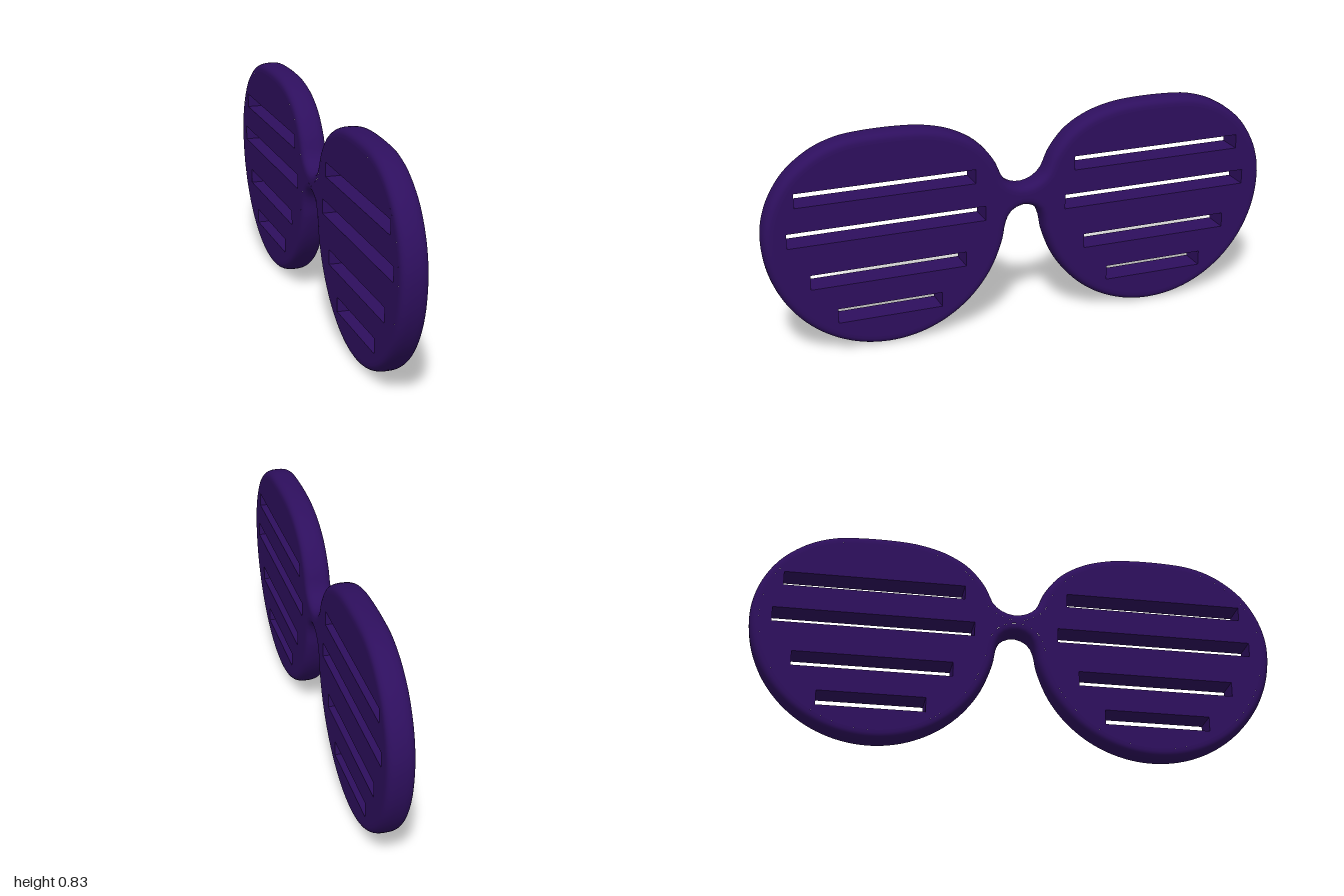
import * as THREE from 'three';

const HALF = 0.05;    // half thickness
const INSET = 0.035;  // width of the rounded edge
const N = 240;        // samples around the outline

// Joins rings of 3D points into a wall; counter-clockwise rings face outward
function loft(rings, flat) {
  const n = rings[0].length, index = [];
  for (let r = 0; r < rings.length - 1; r++) {
    for (let i = 0; i < n; i++) {
      const j = (i + 1) % n, a = r * n, b = a + n;
      index.push(a + i, a + j, b + i, a + j, b + j, b + i);
    }
  }
  let geo = new THREE.BufferGeometry().setFromPoints(rings.flat());
  geo.setIndex(index);
  if (flat) geo = geo.toNonIndexed();
  geo.computeVertexNormals();
  return geo;
}

// Counter-clockwise outline: two round lenses with flattened tops and a bridge
function outline() {
  const half = [
    [0.04, 0.563], [0.08, 0.592], [0.115, 0.665], [0.18, 0.743], [0.27, 0.796],
    [0.37, 0.824], [0.46, 0.833], [0.6, 0.833], [0.7, 0.823], [0.8, 0.788],
    [0.9, 0.715], [0.96, 0.63], [0.99, 0.55],
  ];
  for (let a = 0; a <= 165; a += 15) {
    const t = -a * Math.PI / 180;
    half.push([0.535 + 0.465 * Math.cos(t), 0.467 + 0.466 * Math.sin(t)]);
  }
  half.push([0.072, 0.415], [0.05, 0.456]);
  const pts = [
    [0, 0.555], ...half, [0, 0.475],
    ...half.slice().reverse().map(([u, y]) => [-u, y]),
  ].map(([u, y]) => new THREE.Vector3(u, y, 0)).reverse();
  return new THREE.CatmullRomCurve3(pts, true, 'centripetal');
}

export function createModel() {
  const group = new THREE.Group();
  group.name = 'shutterGlasses';
  const material = new THREE.MeshStandardMaterial({ color: 0x2e0f5e, roughness: 0.8 });
  const add = (name, geo) => {
    const mesh = new THREE.Mesh(geo, material);
    mesh.name = name;
    group.add(mesh);
    return mesh;
  };

  const curve = outline();
  const base = curve.getSpacedPoints(N).slice(0, N);
  const inward = base.map((p, i) => {
    const d = base[(i + 1) % N].clone().sub(base[(i + N - 1) % N]).normalize();
    return new THREE.Vector3(-d.y, d.x, 0);
  });
  const ring = (inset, z) => base.map((p, i) =>
    p.clone().addScaledVector(inward[i], inset).setZ(z));

  // Rounded rim all the way around
  const rings = [], steps = 16, power = 0.75;
  for (let k = 0; k <= steps; k++) {
    const a = (k / steps - 0.5) * Math.PI;
    const s = Math.sin(a), c = Math.max(0, Math.cos(a));
    rings.push(ring(INSET * (1 - c ** power), HALF * Math.sign(s) * Math.abs(s) ** power));
  }
  add('rim', loft(rings, false));

  // Slots: inner end, outer end, bottom, top
  const slots = [
    [0.198, 0.883, 0.595, 0.65],
    [0.16, 0.917, 0.443, 0.5],
    [0.24, 0.837, 0.27, 0.327],
    [0.338, 0.74, 0.12, 0.177],
  ];
  const face = new THREE.Shape(ring(INSET, 0).map(p => new THREE.Vector2(p.x, p.y)));
  for (const side of [1, -1]) {
    for (const [u0, u1, y0, y1] of slots) {
      const [a, b] = side > 0 ? [u0, u1] : [-u1, -u0];
      const corners = [[a, y0], [a, y1], [b, y1], [b, y0]];
      face.holes.push(new THREE.Path(corners.map(c => new THREE.Vector2(...c))));
      add('slotWall', loft([-HALF, HALF].map(z =>
        corners.map(([u, y]) => new THREE.Vector3(u, y, z))), true));
    }
  }

  // Flat slotted faces on both sides
  const faceGeo = new THREE.ShapeGeometry(face);
  add('frontFace', faceGeo).position.z = HALF;
  const back = add('backFace', faceGeo);
  back.position.z = -HALF;
  back.rotation.y = Math.PI;

  // Lenses spread along z, thickness along x
  group.rotation.y = Math.PI / 2;
  const model = new THREE.Group();
  model.add(group);
  return model;
}
